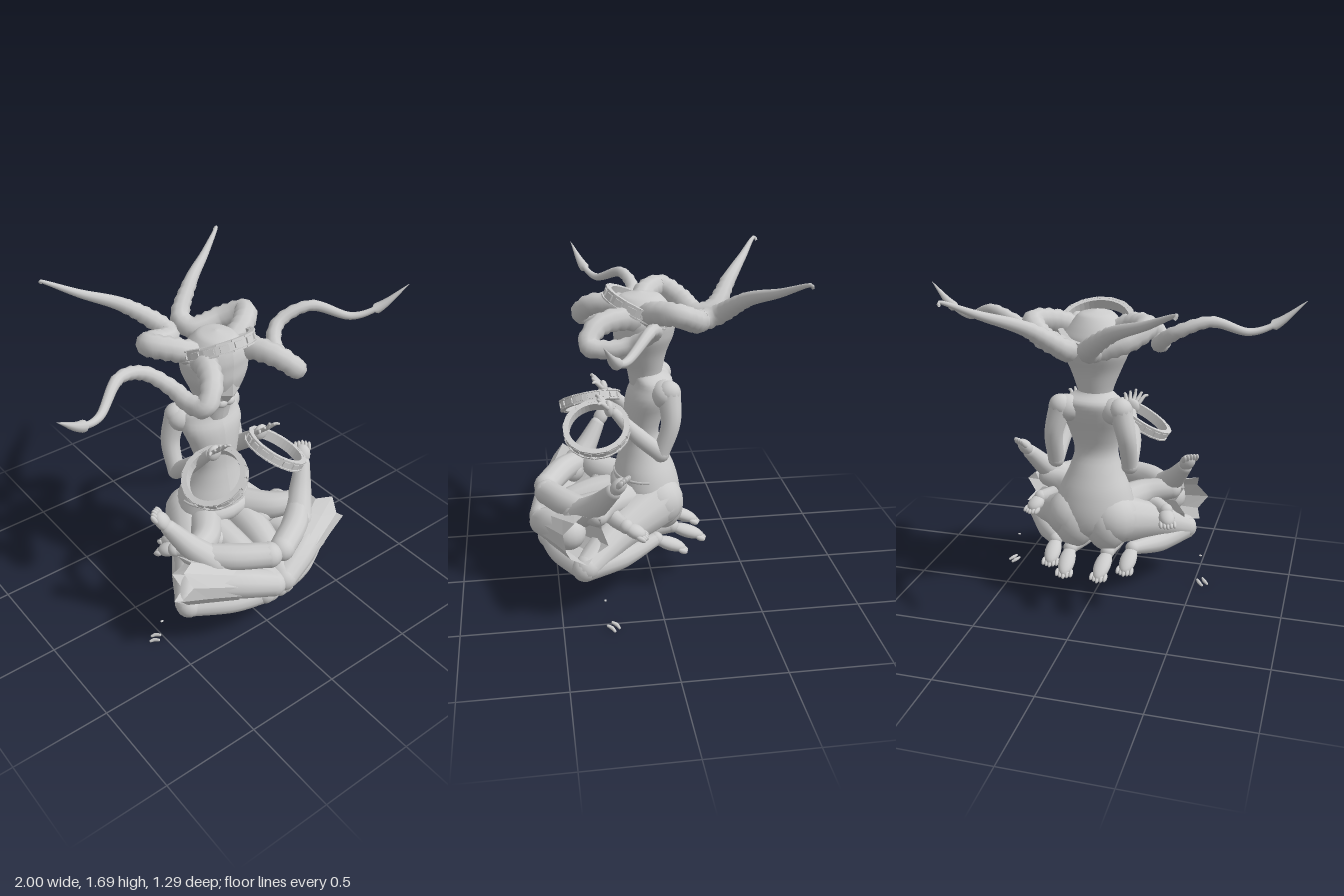
import * as THREE from 'three';

const skin = new THREE.MeshStandardMaterial({ color: 0xcccccc });
const thin = new THREE.MeshStandardMaterial({ color: 0xcccccc, side: THREE.DoubleSide });
const faceted = new THREE.MeshStandardMaterial({ color: 0xcccccc, side: THREE.DoubleSide, flatShading: true });
const V = (p) => new THREE.Vector3(...p);

function add(group, name, geometry, material = skin) {
  const mesh = new THREE.Mesh(geometry, material);
  mesh.name = name;
  group.add(mesh);
  return mesh;
}

function ball(group, name, p, rx, ry = rx, rz = rx) {
  const mesh = add(group, name, new THREE.SphereGeometry(1, 16, 12));
  mesh.position.set(...p);
  mesh.scale.set(rx, ry, rz);
  return mesh;
}

// Tube along a curve whose radius follows a rule of u (0..1)
function taperTube(points, radiusAt, segments = 20, sides = 12) {
  const curve = new THREE.CatmullRomCurve3(points.map(V));
  const geo = new THREE.TubeGeometry(curve, segments, 1, sides);
  const pos = geo.attributes.position, v = new THREE.Vector3();
  for (let i = 0; i <= segments; i++) {
    const c = curve.getPointAt(i / segments), r = radiusAt(i / segments);
    for (let j = 0; j <= sides; j++) {
      const k = i * (sides + 1) + j;
      v.fromBufferAttribute(pos, k).sub(c).multiplyScalar(r).add(c);
      pos.setXYZ(k, v.x, v.y, v.z);
    }
  }
  return geo;
}

// Limb through points with one radius per point and rounded ends
function limb(group, name, points, radii) {
  const n = radii.length - 1;
  const radiusAt = (u) => {
    const i = Math.min(n - 1, Math.floor(u * n));
    return THREE.MathUtils.lerp(radii[i], radii[i + 1], u * n - i);
  };
  const part = new THREE.Group();
  part.name = name;
  add(part, name + 'Tube', taperTube(points, radiusAt));
  ball(part, name + 'Start', points[0], radii[0]);
  ball(part, name + 'End', points[n], radii[n]);
  group.add(part);
}

// Stacked elliptical sections [y, z, halfWidth, halfDepth]
function loft(sections, rows = 36, sides = 28) {
  const curve = (f) => new THREE.CatmullRomCurve3(sections.map(f));
  const a = curve((s) => V([s[0], s[1], 0])), b = curve((s) => V([s[2], s[3], 0]));
  const geo = new THREE.CylinderGeometry(1, 1, 1, sides, rows, false);
  const pos = geo.attributes.position;
  for (let i = 0; i < pos.count; i++) {
    const t = THREE.MathUtils.clamp(pos.getY(i) + 0.5, 0, 1);
    const p = a.getPoint(t), r = b.getPoint(t);
    pos.setXYZ(i, pos.getX(i) * r.x, p.x, p.y + pos.getZ(i) * r.y);
  }
  geo.computeVertexNormals();
  return geo;
}

// Flat band with raised square blocks around it
function studdedRing(name, radius, height, thickness) {
  const ring = new THREE.Group();
  ring.name = name;
  const h = height / 2, t = thickness;
  const profile = [[-t, -h], [0, -h], [0, h], [-t, h], [-t, -h]]
    .map(([x, y]) => new THREE.Vector2(radius + x, y));
  add(ring, name + 'Band', new THREE.LatheGeometry(profile, 40), faceted);
  const count = 16, w = (radius * 2 * Math.PI) / count;
  for (let i = 0; i < count; i++) {
    const a = (i / count) * Math.PI * 2;
    const block = add(ring, name + 'Block', new THREE.BoxGeometry(w * 0.6, height * 0.5, 0.012));
    block.position.set(Math.sin(a) * radius, 0, Math.cos(a) * radius);
    block.rotation.y = a;
    for (const e of [-1, 1]) {
      const rim = add(ring, name + 'Rim', new THREE.BoxGeometry(w, height * 0.14, 0.014));
      rim.position.set(Math.sin(a) * radius, e * h * 0.88, Math.cos(a) * radius);
      rim.rotation.y = a;
    }
  }
  return ring;
}

// Foot with toes, pointing from heel to tip
function foot(group, name, heel, tip) {
  const part = new THREE.Group(), a = V(heel), len = a.distanceTo(V(tip));
  part.name = name;
  part.position.copy(a);
  part.lookAt(V(tip));
  ball(part, name + 'Heel', [0, 0, 0], 0.037);
  ball(part, name + 'Sole', [0, -0.004, len * 0.5], 0.043, 0.034, len * 0.55);
  for (let i = -2; i <= 2; i++)
    ball(part, name + 'Toe', [i * 0.018, -0.01, len * (1 - Math.abs(i) * 0.04)], 0.011, 0.014, 0.026);
  group.add(part);
}

function side(s) {
  const g = new THREE.Group();
  g.name = s > 0 ? 'leftSide' : 'rightSide';
  const m = (pts) => pts.map(([x, y, z]) => [x * s, y, z]);
  const ridged = (r) => (u) => r(u) * (1 + 0.07 * Math.sin(u * 170) * (u < 0.65 ? 1 : 0));

  // Horns: a looping side pair ending in blades and a pair swept back
  add(g, 'sideHorn', taperTube(m([[0.1, 1.43, 0.04], [0.14, 1.455, 0.16], [0.2, 1.435, 0.28], [0.27, 1.37, 0.325],
    [0.295, 1.355, 0.24], [0.305, 1.38, 0.12], [0.39, 1.45, 0.04], [0.56, 1.51, 0.08], [0.74, 1.445, 0.2],
    [0.86, 1.48, 0.26], [1, 1.59, 0.32]]),
  ridged((u) => u < 0.86 ? 0.062 - 0.055 * u : 0.026 * Math.min(1, (1 - u) / 0.13) + 0.001), 110, 10), thin);
  add(g, 'backHorn', taperTube(m([[0.1, 1.45, 0.04], [0.2, 1.49, 0.0], [0.28, 1.5, -0.09], [0.21, 1.45, -0.18],
    [0.07, 1.41, -0.24], [0.06, 1.43, -0.32], [0.2, 1.54, -0.43], [0.38, 1.615, -0.54], [0.53, 1.685, -0.64],
    [0.52, 1.67, -0.647]]),
  ridged((u) => u < 0.45 ? 0.058 - 0.01 * u : 0.007 + 0.0465 * ((1 - u) / 0.55)), 100, 10), thin);

  // Arm bent up at the elbow, hand open beside the chest
  ball(g, 'shoulder', [0.13 * s, 1.06, -0.05], 0.085, 0.07, 0.07);
  limb(g, 'upperArm', m([[0.155, 1.075, -0.07], [0.19, 0.93, -0.075], [0.195, 0.77, -0.025]]), [0.06, 0.048, 0.042]);
  limb(g, 'forearm', m([[0.195, 0.77, -0.025], [0.185, 0.87, 0.09], [0.15, 0.98, 0.195]]), [0.043, 0.042, 0.025]);
  ball(g, 'palm', [0.145 * s, 1.005, 0.225], 0.04, 0.042, 0.024);
  for (let i = -2; i <= 2; i++)
    limb(g, 'finger', m([[0.145 + i * 0.016, 1.02, 0.235], [0.15 + i * 0.026, 1.055, 0.27],
      [0.152 + i * 0.03, 1.08 - Math.abs(i) * 0.012, 0.28]]), [0.011, 0.01, 0.007]);

  // Tilted ring held in the hand
  const ring = studdedRing('handRing', 0.155, 0.05, 0.02);
  ring.position.set(0.19 * s, 0.92, 0.29);
  ring.quaternion.setFromUnitVectors(V([0, 1, 0]), V([0.5 * s, 0.85, 0.12]).normalize());
  g.add(ring);

  // Kneeling legs with feet behind
  limb(g, 'kneelingThigh', m([[0.11, 0.47, -0.02], [0.26, 0.38, 0.2], [0.42, 0.29, 0.37]]), [0.135, 0.1, 0.065]);
  limb(g, 'kneelingShin', m([[0.42, 0.28, 0.38], [0.31, 0.27, 0.18], [0.21, 0.3, 0]]), [0.065, 0.058, 0.035]);
  foot(g, 'kneelingFoot', [0.21 * s, 0.3, 0], [0.2 * s, 0.235, -0.15]);
  limb(g, 'innerShin', m([[0.06, 0.28, 0.54], [0.08, 0.27, 0.22], [0.1, 0.31, -0.1]]), [0.06, 0.055, 0.035]);
  foot(g, 'innerFoot', [0.1 * s, 0.31, -0.1], [0.09 * s, 0.24, -0.265]);
  limb(g, 'lowerShin', m([[0.03, 0.27, 0.54], [0.22, 0.27, 0.49], [0.42, 0.27, 0.38]]), [0.055, 0.058, 0.055]);

  // Folded legs in front
  limb(g, 'foldedThigh', m([[0.1, 0.5, 0.1], [0.22, 0.52, 0.25], [0.35, 0.53, 0.31]]), [0.09, 0.075, 0.055]);
  limb(g, 'foldedShin', m([[0.35, 0.53, 0.31], [0.2, 0.53, 0.45], [0.04, 0.52, 0.54]]), [0.055, 0.068, 0.065]);
  limb(g, 'foldedAnkle', m([[0.15, 0.48, 0.25], [0.28, 0.47, 0.22], [0.35, 0.46, 0.17]]), [0.05, 0.045, 0.035]);
  foot(g, 'foldedFoot', [0.35 * s, 0.46, 0.17], [0.38 * s, 0.42, 0.08]);
  limb(g, 'raisedLeg', m([[0.27, 0.5, 0.4], [0.36, 0.59, 0.31], [0.43, 0.69, 0.24]]), [0.075, 0.06, 0.04]);
  foot(g, 'raisedFoot', [0.43 * s, 0.69, 0.24], [0.465 * s, 0.77, 0.195]);
  limb(g, 'frontThigh', m([[0.1, 0.46, 0.05], [0.08, 0.43, 0.32], [0.035, 0.35, 0.57]]), [0.1, 0.085, 0.068]);
  limb(g, 'frontShin', m([[0.035, 0.35, 0.57], [0.18, 0.4, 0.52], [0.32, 0.43, 0.45]]), [0.068, 0.08, 0.085]);

  // Flared open cuff with a few torn petals on its rim
  const from = V([0.2 * s, 0.4, 0.5]), to = V([0.43 * s, 0.45, 0.39]);
  const h = from.distanceTo(to);
  const cuffGeo = new THREE.CylinderGeometry(0.112, 0.088, h, 10, 3, true);
  const pos = cuffGeo.attributes.position;
  for (let i = 0; i < pos.count; i++) {
    const step = Math.round((Math.atan2(pos.getX(i), pos.getZ(i)) / Math.PI) * 5);
    if (pos.getY(i) > h / 2 - 0.001 && step % 2)
      pos.setXYZ(i, pos.getX(i) * 1.08, pos.getY(i) + 0.05, pos.getZ(i) * 1.08);
  }
  const cuff = add(g, 'flaredCuff', cuffGeo, faceted);
  cuff.position.copy(from).add(to).multiplyScalar(0.5);
  cuff.quaternion.setFromUnitVectors(V([0, 1, 0]), to.clone().sub(from).normalize());

  // Small loose fragments below
  for (const [x, z] of [[0.535, 0.24], [0.56, 0.265]])
    limb(g, 'fragment', m([[x - 0.015, 0.024, z + 0.02], [x, 0.018, z], [x + 0.015, 0.01, z - 0.01]]), [0.007, 0.01, 0.007]);
  ball(g, 'smallFragment', [0.527 * s, 0.158, 0.294], 0.009, 0.004, 0.006);

  ball(g, 'buttock', [s * 0.085, 0.44, -0.055], 0.11, 0.135, 0.105);
  ball(g, 'lip', [s * 0.022, 1.19, 0.125], 0.032, 0.024, 0.025);
  return g;
}

export function createModel() {
  const model = new THREE.Group();
  model.name = 'hornedSeatedFigure';

  // Body
  add(model, 'torso', loft([[0.34, 0, 0.05, 0.05], [0.42, -0.01, 0.19, 0.135], [0.52, 0.02, 0.21, 0.17],
    [0.62, 0.03, 0.185, 0.155], [0.72, 0.04, 0.14, 0.12], [0.82, 0.05, 0.115, 0.09], [0.93, 0.035, 0.14, 0.1],
    [1.03, 0.01, 0.17, 0.11], [1.1, -0.01, 0.155, 0.1], [1.14, 0.02, 0.09, 0.08], [1.18, 0.03, 0.075, 0.07]]));
  ball(model, 'belly', [0, 0.54, 0.1], 0.18, 0.075, 0.11);
  const seam = add(model, 'bellySeam', new THREE.TorusGeometry(0.185, 0.008, 6, 32, Math.PI));
  seam.position.set(0, 0.605, 0.03);
  seam.rotation.x = Math.PI / 2;
  seam.scale.y = 0.84;

  // Head and face
  add(model, 'head', loft([[1.08, 0.03, 0.075, 0.075], [1.16, 0.03, 0.095, 0.09], [1.25, 0.04, 0.13, 0.12],
    [1.34, 0.035, 0.168, 0.15], [1.41, 0.03, 0.175, 0.155], [1.47, 0.04, 0.14, 0.14], [1.53, 0.05, 0.085, 0.1],
    [1.55, 0.05, 0.005, 0.005]]));
  const mask = add(model, 'faceDiamond', new THREE.OctahedronGeometry(1), faceted);
  mask.position.set(0, 1.26, 0.155);
  mask.scale.set(0.06, 0.085, 0.03);
  mask.rotation.x = 0.3;

  // Crown tilted upward at the front
  const crown = studdedRing('crown', 0.185, 0.055, 0.02);
  crown.position.set(0, 1.47, 0.05);
  crown.rotation.x = -0.45;
  model.add(crown);

  model.add(side(1), side(-1));
  return model;
}
